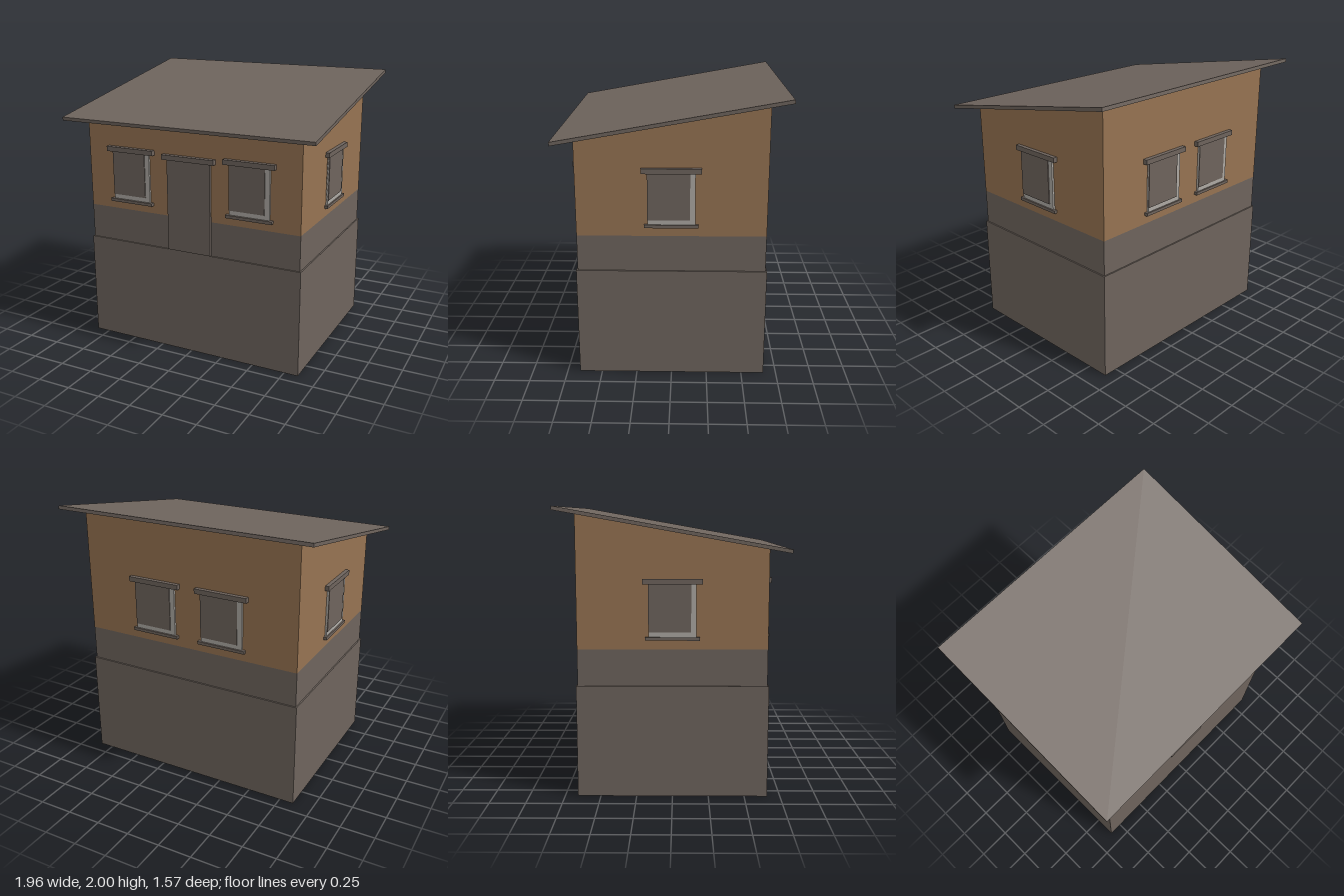
import * as THREE from 'three';

const material = (name, color, extra = {}) =>
  Object.assign(new THREE.MeshStandardMaterial({ color, ...extra }), { name });

export function createModel() {
  const grey = material('grey stone', 0x6e645d);
  const brown = material('brown plaster', 0x967352);
  const pale = material('pale frame', 0xaeaaa4);

  const house = new THREE.Group();
  house.name = 'house';

  // Box spanning x0..x1, y0..y1, z0..z1
  const box = (parent, name, mat, x0, x1, y0, y1, z0, z1) => {
    const mesh = new THREE.Mesh(new THREE.BoxGeometry(x1 - x0, y1 - y0, z1 - z0), mat);
    mesh.position.set((x0 + x1) / 2, (y0 + y1) / 2, (z0 + z1) / 2);
    mesh.name = name;
    parent.add(mesh);
  };

  // Side profile of [z, y] points swept across the width of the house
  const sweep = (name, mat, points, width) => {
    const shape = new THREE.Shape(points.map(([z, y]) => new THREE.Vector2(z, y)));
    const geo = new THREE.ExtrudeGeometry(shape, { depth: width, bevelEnabled: false });
    geo.translate(0, 0, -width / 2).rotateY(-Math.PI / 2);
    const mesh = new THREE.Mesh(geo, mat);
    mesh.name = name;
    house.add(mesh);
  };

  const wallX = 0.845, wallZ = 0.65;

  // Foundation, lower wall band, sloped upper walls and roof slab
  box(house, 'foundation', grey, -0.855, 0.855, 0, 0.785, -0.66, 0.66);
  box(house, 'lowerWall', grey, -wallX, wallX, 0.785, 1.04, -wallZ, wallZ);
  sweep('upperWalls', brown,
    [[wallZ, 1.04], [wallZ, 1.719], [-wallZ, 1.952], [-wallZ, 1.04]], wallX * 2);
  sweep('roof', grey,
    [[0.782, 1.695], [0.786, 1.72], [-0.78, 2], [-0.784, 1.975]], 1.956);

  // Window on a wall: pale frame, offset shutter panel, lintel and sill
  const addWindow = (name, angle, wall, x, w, lift, out) => {
    const win = new THREE.Group();
    win.name = name;
    const h = w / 2;
    box(win, 'frame', pale, -h, h, 1.115, 1.485, -0.01, 0.014);
    box(win, 'shutter', grey, -h, h - 0.036, 1.153, 1.485, -0.01, 0.02);
    box(win, 'lintel', grey, -h - 0.04, h + 0.04, 1.478, 1.514, -0.01, out);
    box(win, 'sill', grey, -h - 0.023, h + 0.023, 1.098, 1.12, -0.01, out - 0.005);
    win.position.set(
      Math.sin(angle) * wall + Math.cos(angle) * x, lift,
      Math.cos(angle) * wall - Math.sin(angle) * x);
    win.rotation.y = angle;
    house.add(win);
  };

  for (const x of [-0.478, 0.468]) addWindow('frontWindow', 0, wallZ, x, 0.305, 0, 0.035);
  for (const x of [-0.268, 0.272]) addWindow('backWindow', Math.PI, wallZ, x, 0.325, 0.006, 0.031);
  for (const s of [-1, 1]) addWindow('sideWindow', s * Math.PI / 2, wallX, 0, 0.325, 0.006, 0.029);

  // Door with its lintel
  box(house, 'door', grey, -0.173, 0.17, 0.79, 1.465, 0.64, 0.672);
  box(house, 'doorLintel', grey, -0.21, 0.207, 1.462, 1.498, 0.64, 0.685);

  return house;
}
